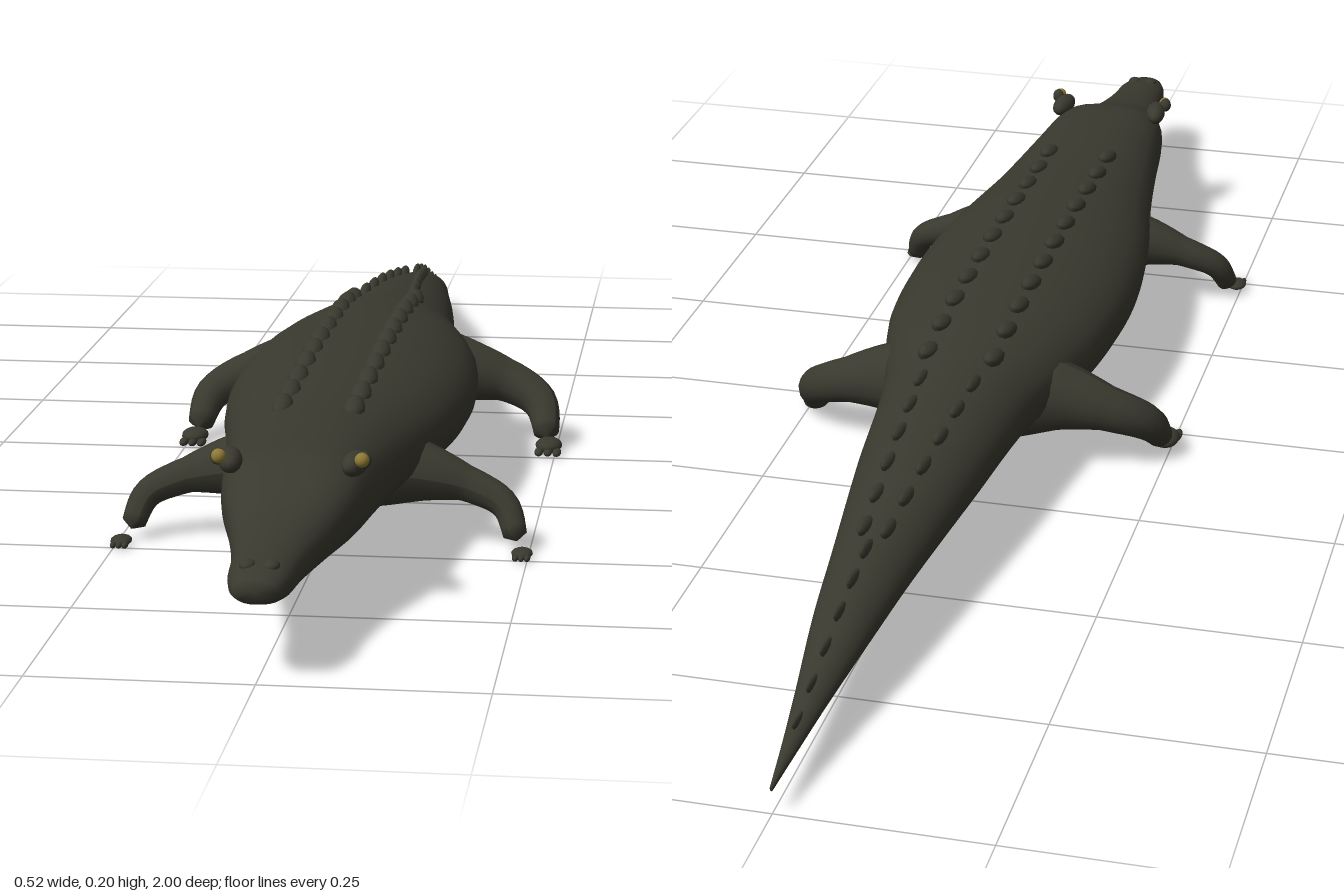
import * as THREE from 'three';

// Body stations: z, half width, bottom y, top y, roundness exponent
const STATIONS = [
  [1.0, 0.024, 0.088, 0.116, 2.2], [0.97, 0.034, 0.08, 0.123, 2.3], [0.9, 0.041, 0.075, 0.13, 2.3],
  [0.81, 0.058, 0.071, 0.144, 2.4], [0.75, 0.074, 0.07, 0.164, 2.6], [0.71, 0.083, 0.069, 0.177, 2.6],
  [0.6, 0.097, 0.062, 0.184, 2.3], [0.46, 0.117, 0.052, 0.187, 2.1], [0.3, 0.145, 0.04, 0.192, 2.1],
  [0.15, 0.156, 0.034, 0.194, 2.1], [0, 0.147, 0.037, 0.192, 2.1], [-0.1, 0.125, 0.041, 0.188, 2.1],
  [-0.2, 0.1, 0.047, 0.179, 2], [-0.4, 0.077, 0.05, 0.16, 2], [-0.6, 0.052, 0.05, 0.13, 1.9],
  [-0.72, 0.038, 0.047, 0.108, 1.9], [-0.85, 0.02, 0.04, 0.073, 1.9], [-0.93, 0.01, 0.034, 0.052, 1.9],
  [-1, 0.002, 0.029, 0.036, 1.9],
];

// Smooth (Hermite) interpolation between stations
function station(z) {
  let i = 0;
  while (i < STATIONS.length - 2 && z < STATIONS[i + 1][0]) i++;
  const at = (k) => STATIONS[Math.min(Math.max(k, 0), STATIONS.length - 1)];
  const [p, a, b, q] = [at(i - 1), at(i), at(i + 1), at(i + 2)];
  const d = b[0] - a[0], t = (z - a[0]) / d;
  return a.map((v, k) => {
    if (k === 0) return z;
    const m0 = ((b[k] - p[k]) / (b[0] - p[0])) * d;
    const m1 = ((q[k] - a[k]) / (q[0] - a[0])) * d;
    return (2 * t ** 3 - 3 * t * t + 1) * v + (t ** 3 - 2 * t * t + t) * m0
      + (3 * t * t - 2 * t ** 3) * b[k] + (t ** 3 - t * t) * m1;
  });
}

// Height of the back at a given x and z
function backY(x, z) {
  const [, w, lo, hi, n] = station(z);
  return (lo + hi) / 2 + ((hi - lo) / 2) * Math.max(0, 1 - Math.abs(x / w) ** n) ** (1 / n);
}

function bodyGeometry(rings = 100, sides = 32) {
  const pos = [], idx = [];
  const pow = (v, e) => Math.sign(v) * Math.abs(v) ** e;
  for (let i = 0; i <= rings; i++) {
    const [z, w, lo, hi, n] = station(1 - (2 * i) / rings);
    for (let j = 0; j < sides; j++) {
      const a = (j / sides) * Math.PI * 2;
      pos.push(w * pow(Math.cos(a), 2 / n), (lo + hi) / 2 + ((hi - lo) / 2) * pow(Math.sin(a), 2 / n), z);
    }
  }
  for (let i = 0; i < rings; i++) {
    for (let j = 0; j < sides; j++) {
      const k = (j + 1) % sides;
      const a = i * sides + j, b = i * sides + k, c = a + sides, d = b + sides;
      idx.push(a, c, b, b, c, d);
    }
  }
  // End caps
  const nose = pos.length / 3, tip = nose + 1, last = rings * sides;
  pos.push(0, 0.102, 1, 0, 0.032, -1);
  for (let j = 0; j < sides; j++) {
    const k = (j + 1) % sides;
    idx.push(nose, j, k, tip, last + k, last + j);
  }
  const g = new THREE.BufferGeometry();
  g.setAttribute('position', new THREE.Float32BufferAttribute(pos, 3));
  g.setIndex(idx);
  g.computeVertexNormals();
  return g;
}

// Tube whose radius follows a list of values along its path, closed at the end
function limbGeometry(points, radii, segs = 24, sides = 14) {
  const curve = new THREE.CatmullRomCurve3(points.map((p) => new THREE.Vector3(...p)));
  const g = new THREE.TubeGeometry(curve, segs, 1, sides);
  const p = g.attributes.position, v = new THREE.Vector3();
  for (let i = 0; i <= segs; i++) {
    const c = curve.getPointAt(i / segs);
    const f = (i / segs) * (radii.length - 1), k = Math.min(Math.floor(f), radii.length - 2);
    const r = i === segs ? 0.0005 : THREE.MathUtils.lerp(radii[k], radii[k + 1], f - k);
    for (let j = 0; j <= sides; j++) {
      const n = i * (sides + 1) + j;
      v.fromBufferAttribute(p, n).sub(c).multiplyScalar(r).add(c);
      p.setXYZ(n, v.x, v.y, v.z);
    }
  }
  g.computeVertexNormals();
  return g;
}

export function createModel() {
  const model = new THREE.Group();
  model.name = 'crocodile';
  const hide = new THREE.MeshStandardMaterial({ color: 0x3a392f });
  hide.name = 'hide';
  const amber = new THREE.MeshStandardMaterial({ color: 0x8f7a35 });
  amber.name = 'amber';
  const ball = new THREE.SphereGeometry(1, 14, 10);

  const add = (name, geo, mat = hide) => {
    const m = new THREE.Mesh(geo, mat);
    m.name = name;
    model.add(m);
    return m;
  };
  const blob = (name, p, s, mat = hide) => {
    const m = add(name, ball, mat);
    m.position.set(...p);
    m.scale.set(...s);
    return m;
  };

  add('body', bodyGeometry());

  // Keeled scale: low at the front, rising to a point at the rear
  const scaleGeo = new THREE.SphereGeometry(1, 10, 8);
  const sp = scaleGeo.attributes.position;
  for (let i = 0; i < sp.count; i++) sp.setZ(i, sp.getZ(i) - 0.6 * Math.max(0, sp.getY(i)));
  scaleGeo.computeVertexNormals();
  const scute = (name, x, z, s) => {
    const m = add(name, scaleGeo);
    m.position.set(x, backY(x, z) - 0.002, z);
    m.scale.set(...s);
  };

  for (const side of [1, -1]) {
    const label = side > 0 ? 'left' : 'right';

    // Two rows along the back, converging on the tail
    for (let i = 0; i < 11; i++) scute(label + 'BackScute', side * 0.043, 0.5 - i * 0.068, [0.013, 0.013, 0.026]);
    for (let i = 0; i < 6; i++) {
      scute(label + 'TailScute', side * (0.034 - i * 0.004), -0.25 - i * 0.065, [0.008, 0.011, 0.026]);
    }

    // Eyes on raised brows
    const brow = blob(label + 'Brow', [side * 0.071, 0.17, 0.715], [0.014, 0.014, 0.03]);
    brow.rotation.y = side * -0.15;
    blob(label + 'EyeSocket', [side * 0.083, 0.178, 0.73], [0.0085, 0.01, 0.009]);
    blob(label + 'Eye', [side * 0.081, 0.179, 0.735], [0.0085, 0.0085, 0.0085], amber);

    // Nostril bump
    blob(label + 'Nostril', [side * 0.013, 0.121, 0.965], [0.009, 0.006, 0.012]);

    // Front leg and its small separate foot
    add(label + 'FrontLeg', limbGeometry([
      [side * 0.07, 0.092, 0.42], [side * 0.13, 0.085, 0.425], [side * 0.185, 0.07, 0.43],
      [side * 0.219, 0.052, 0.44], [side * 0.235, 0.014, 0.462]],
    [0.05, 0.036, 0.022, 0.018, 0.014]));
    blob(label + 'FrontFoot', [side * 0.243, 0.006, 0.485], [0.013, 0.006, 0.018]);
    for (const t of [-1, 0, 1]) {
      blob(label + 'FrontToe', [side * 0.243 + t * 0.007, 0.004, 0.499], [0.004, 0.004, 0.01]);
    }

    // Hind leg, bending forward to the foot
    add(label + 'HindLeg', limbGeometry([
      [side * 0.06, 0.097, -0.115], [side * 0.12, 0.093, -0.11], [side * 0.185, 0.078, -0.105],
      [side * 0.225, 0.056, -0.085], [side * 0.238, 0.016, -0.045]],
    [0.062, 0.045, 0.03, 0.024, 0.016]));
    blob(label + 'HindFoot', [side * 0.241, 0.01, -0.033], [0.018, 0.01, 0.025]);
    for (const t of [-1, 0, 1]) {
      blob(label + 'HindToe', [side * 0.241 + t * 0.012, 0.005, -0.013], [0.006, 0.005, 0.016]);
    }
  }

  // Single crest on the end of the tail
  for (let i = 0; i < 6; i++) scute('tailCrest', 0, -0.62 - i * 0.055, [0.006 - i * 0.0005, 0.012 - i * 0.001, 0.024]);

  return model;
}
